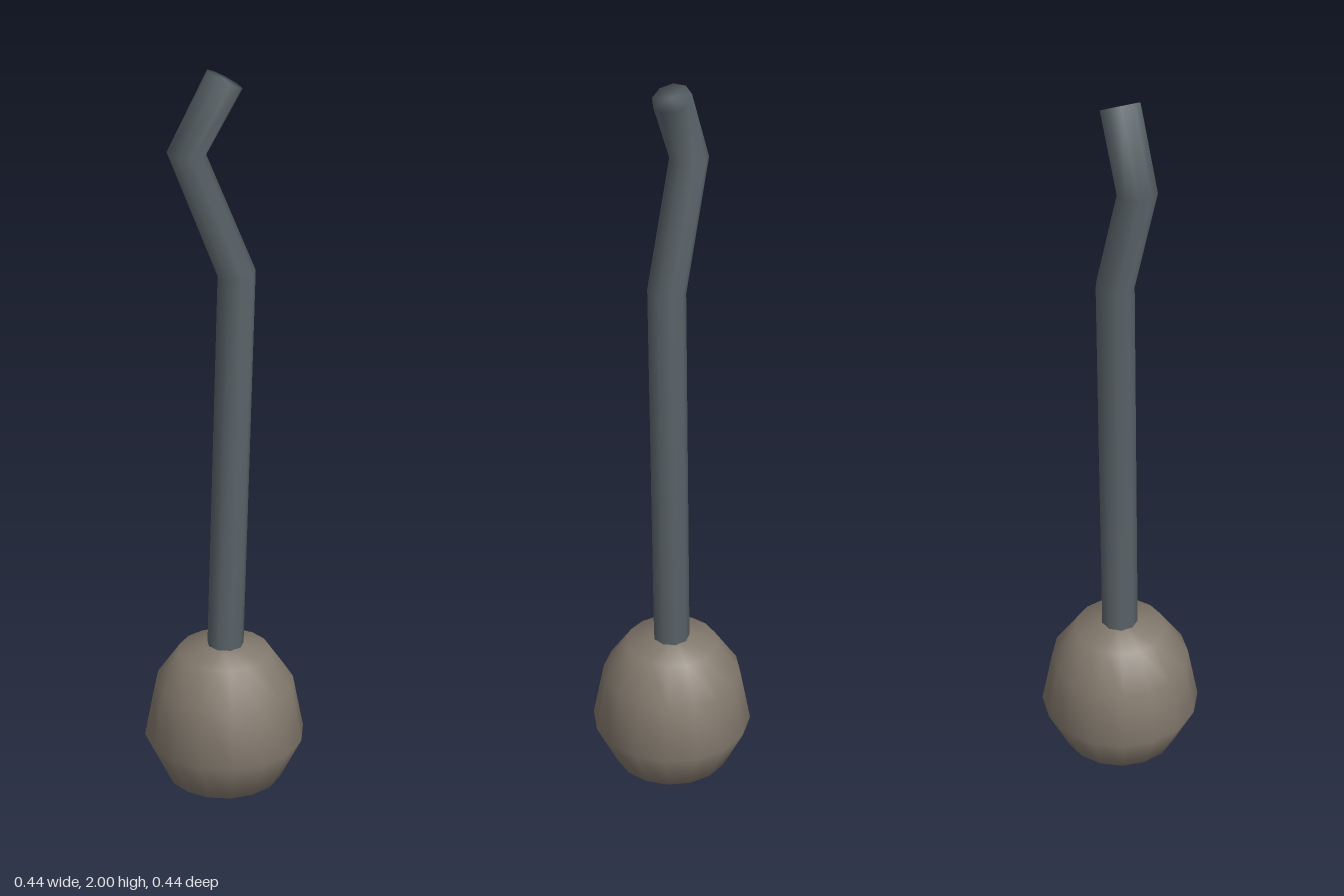
import * as THREE from 'three';

const stoneMat = new THREE.MeshStandardMaterial({ color: 0x82786c, side: THREE.DoubleSide });
stoneMat.name = 'warmGrey';
const stemMat = new THREE.MeshStandardMaterial({ color: 0x596368 });
stemMat.name = 'slateGrey';

// Closed bent rod: one mitred ring of vertices per path point, lying in the xy plane
function bentRod(path, radius, sides) {
  const pts = path.map(([x, y]) => new THREE.Vector2(x, y));
  const dirs = pts.slice(1).map((p, i) => p.clone().sub(pts[i]).normalize());
  const pos = [], idx = [];
  pts.forEach((p, i) => {
    const before = dirs[Math.max(i - 1, 0)];
    const after = dirs[Math.min(i, dirs.length - 1)];
    const t = before.clone().add(after).normalize();
    for (let j = 0; j < sides; j++) {
      const a = (j / sides) * Math.PI * 2;
      const across = Math.cos(a) * radius;
      pos.push(p.x + t.y * across, p.y - t.x * across, Math.sin(a) * radius);
    }
  });
  const last = pts.length - 1;
  const bottom = pts.length * sides, top = bottom + 1;
  pos.push(pts[0].x, pts[0].y, 0, pts[last].x, pts[last].y, 0);
  for (let j = 0; j < sides; j++) {
    const k = (j + 1) % sides;
    for (let i = 0; i < last; i++) {
      const a = i * sides + j, b = i * sides + k;
      idx.push(a, a + sides, b, b, a + sides, b + sides);
    }
    idx.push(bottom, j, k, top, last * sides + k, last * sides + j);
  }
  const geo = new THREE.BufferGeometry();
  geo.setAttribute('position', new THREE.Float32BufferAttribute(pos, 3));
  geo.setIndex(idx);
  geo.computeVertexNormals();
  return geo;
}

export function createModel() {
  const model = new THREE.Group();
  model.name = 'bulbWithBentStem';

  // Rounded bulb, with a small opening underneath
  const profile = [[0.03, 0], [0.16, 0.037], [0.22, 0.162], [0.19, 0.317], [0.125, 0.412], [0.03, 0.436]]
    .map(([r, y]) => new THREE.Vector2(r, y));
  const bulb = new THREE.Mesh(new THREE.LatheGeometry(profile, 16), stoneMat);
  bulb.name = 'bulb';

  // Long leaning stem with two bends near the top
  const stem = new THREE.Mesh(
    bentRod([[0.002, 0.4], [0.031, 1.48], [-0.095, 1.795], [0.001, 1.979]], 0.05, 9), stemMat);
  stem.name = 'stem';

  model.add(bulb, stem);
  return model;
}
